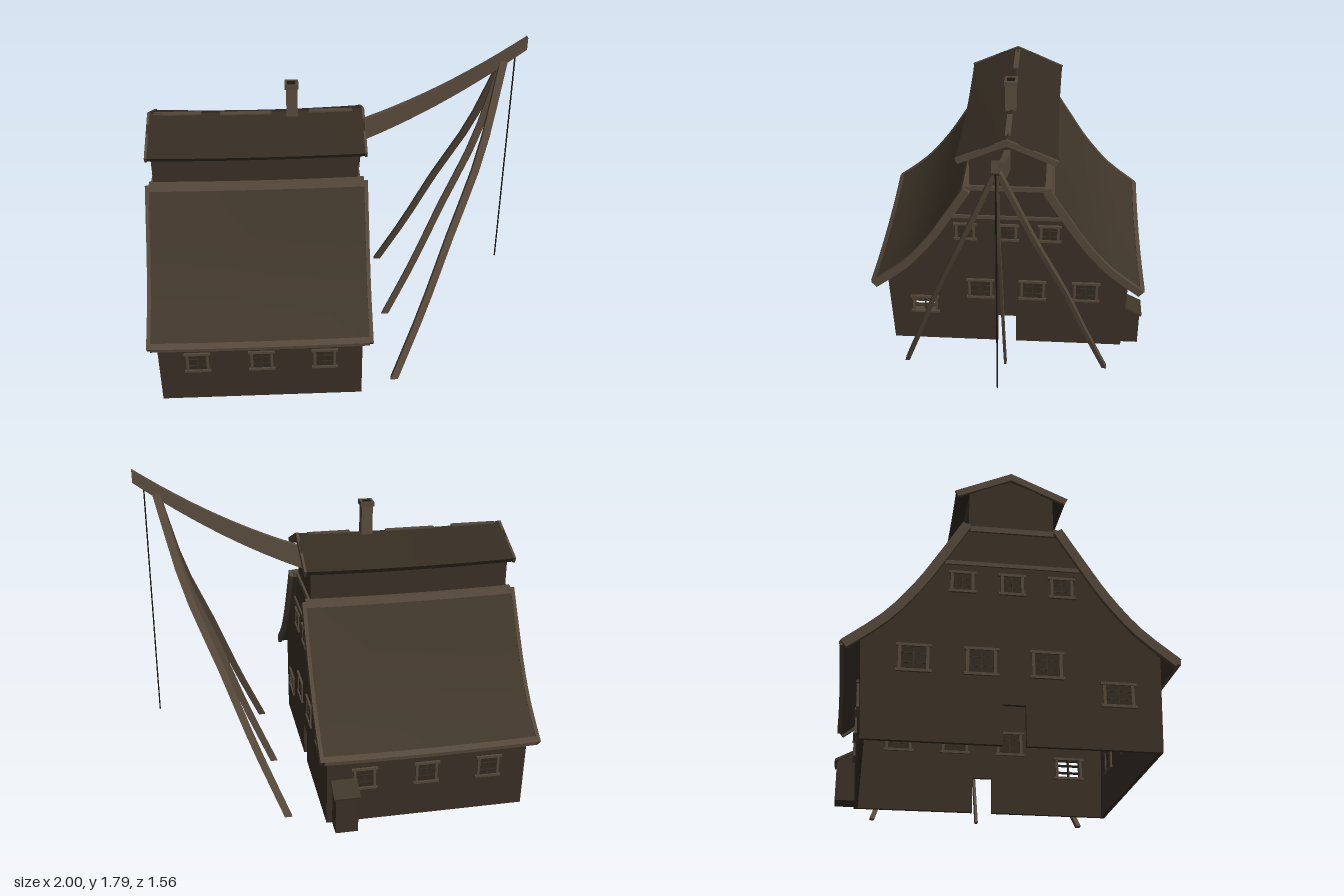
import * as THREE from 'three';
import { toCreasedNormals } from 'three/addons/utils/BufferGeometryUtils.js';

const paint = (name, color) => {
  const m = new THREE.MeshStandardMaterial({ color, side: THREE.DoubleSide });
  m.name = name;
  return m;
};

export function createModel() {
  const model = new THREE.Group();
  model.name = 'barnWithCrane';
  const wall = paint('dark timber', 0x3a3026);
  const roof = paint('roof boards', 0x40362a);
  const upperRoof = paint('upper roof boards', 0x342b21);
  const trim = paint('worn trim', 0x54473a);
  const pane = paint('window pane', 0x332a20);
  const beam = paint('crane timber', 0x5a4c3d);
  const black = paint('rope and soot', 0x1b1814);

  const add = (name, geo, mat, parent = model) => {
    const mesh = new THREE.Mesh(geo, mat);
    mesh.name = name;
    parent.add(mesh);
    return mesh;
  };
  const box = (name, w, h, d, x, y, z, mat, parent) => {
    const m = add(name, new THREE.BoxGeometry(w, h, d), mat, parent);
    m.position.set(x, y, z);
    return m;
  };
  const toShape = pts => new THREE.Shape(pts.map(p => new THREE.Vector2(...p)));

  // Extrudes a (z, y) profile from x0 to x1, sagging in the middle of the house
  const alongX = (name, shape, x0, x1, mat, sag = 0) => {
    let geo = new THREE.ExtrudeGeometry(shape, { depth: x1 - x0, steps: sag ? 10 : 1, bevelEnabled: false });
    geo.rotateY(-Math.PI / 2);
    geo.translate(x1, 0, 0);
    if (sag) {
      const p = geo.attributes.position;
      for (let i = 0; i < p.count; i++) {
        const t = (p.getX(i) + 0.415) / 0.585;
        const dip = sag * (1 - t * t);
        p.setY(i, p.getY(i) - dip);
        p.setZ(i, p.getZ(i) - Math.sign(p.getZ(i)) * dip * 0.6);
      }
    }
    geo = toCreasedNormals(geo, 0.6);
    return add(name, geo, mat);
  };

  // Curved lower roof profile, as (z, y) from the eave up
  const curve = new THREE.SplineCurve([[0.775, 0.44], [0.595, 0.585], [0.455, 0.75], [0.35, 0.91], [0.235, 1.095]]
    .map(p => new THREE.Vector2(...p)));
  const band = (inset, thick, s) => {
    const outer = [], inner = [];
    for (let i = 0; i <= 12; i++) {
      const p = curve.getPoint(i / 12), t = curve.getTangent(i / 12);
      outer.push([s * (p.x + t.y * -inset), p.y + t.x * inset]);
      inner.unshift([s * (p.x - t.y * (inset + thick)), p.y + t.x * (inset + thick)]);
    }
    return toShape([...outer, ...inner]);
  };

  // Gable walls with a doorway; one has an open window
  const slope = [];
  for (let i = 2; i <= 12; i++) {
    const p = curve.getPoint(i / 12), t = curve.getTangent(i / 12);
    slope.push([p.x - t.y * 0.02, p.y + t.x * 0.02]);
  }
  const gable = open => {
    const side = [[0.67, 0], [0.685, 0.46], ...slope];
    const s = toShape([[0.055, 0.19], [0.055, 0], ...side,
      ...side.map(([z, y]) => [-z, y]).reverse(), [-0.05, 0], [-0.05, 0.19]]);
    if (open) s.holes.push(new THREE.Path([[0.42, 0.205], [0.42, 0.32], [0.54, 0.32], [0.54, 0.205]]
      .map(p => new THREE.Vector2(...p))));
    return s;
  };
  alongX('leftGable', gable(true), 0.1, 0.12, wall);
  alongX('rightGable', gable(false), -0.96, -0.94, wall);

  for (const s of [1, -1]) {
    alongX('sideWall', toShape([[s * 0.65, 0], [s * 0.67, 0], [s * 0.69, 0.47], [s * 0.67, 0.47]]), -0.96, 0.12, wall);
    alongX('lowerRoof', band(0, 0.03, s), -0.985, 0.155, roof, 0.012);
    // Barge boards at both ends
    alongX('bargeBoard', band(-0.003, 0.045, s), 0.15, 0.17, trim);
    alongX('bargeBoard', band(-0.003, 0.045, s), -1, -0.98, trim);
    // Worn strips on the eave and the upper edge
    alongX('eaveStrip', toShape([[s * 0.78, 0.425], [s * 0.782, 0.444], [s * 0.755, 0.462], [s * 0.75, 0.425]]), -0.98, 0.15, trim, 0.012);
    alongX('topStrip', toShape([[s * 0.256, 1.069], [s * 0.24, 1.1], [s * 0.2, 1.1], [s * 0.2, 1.069]]), -0.98, 0.15, trim, 0.008);
    // Upper roof slope
    alongX('upperRoof', toShape([[0, 1.4], [s * 0.1, 1.36], [s * 0.272, 1.278], [s * 0.258, 1.255], [s * 0.1, 1.33], [0, 1.37]]),
      -0.98, 0.16, upperRoof, 0.012);
    for (const x of [-0.983, 0.15]) {
      alongX('upperBarge', toShape([[0, 1.402], [s * 0.276, 1.28], [s * 0.26, 1.25], [0, 1.365]]), x, x + 0.013, trim);
    }
  }
  // Raised loft between the roofs
  alongX('loft', toShape([[-0.205, 1.06], [0.205, 1.06], [0.205, 1.285], [0, 1.37], [-0.205, 1.285]]), -0.96, 0.12, wall);

  // Worn patches on the ridge
  for (const [a, b] of [[-0.95, -0.7], [-0.6, -0.33], [-0.13, 0.1]]) {
    const t = ((a + b) / 2 + 0.415) / 0.585;
    box('ridgeWear', b - a, 0.008, 0.03, (a + b) / 2, 1.398 - 0.012 * (1 - t * t), 0, trim);
  }

  // Gable beams
  for (const x of [0.122, -0.962]) {
    box('gableBeam', 0.015, 0.02, 0.66, x, 0.89, 0, trim);
    box('gableTopBeam', 0.02, 0.028, 0.47, x, 1.08, 0, trim);
  }

  // Windows, built facing +z
  const addWindow = (w, h, x, y, z, turn, glazed = true, tilt = 0) => {
    const g = new THREE.Group();
    g.name = 'window';
    for (const s of [1, -1]) {
      box('windowJamb', 0.014, h, 0.038, s * (w / 2 - 0.007), 0, 0, trim, g);
      box('windowRail', w + 0.02, 0.013, 0.044, 0, s * (h / 2 - 0.006), 0, trim, g);
    }
    if (glazed) box('windowPane', w - 0.02, h - 0.02, 0.026, 0, 0, 0, pane, g);
    box('mullion', 0.006, h, 0.03, 0, 0, 0, wall, g);
    for (const s of [1, -1]) box('glazingBar', w, 0.004, 0.03, 0, s * h / 6, 0, wall, g);
    g.rotation.set(tilt, turn, 0);
    g.position.set(x, y, z);
    model.add(g);
  };
  for (const x of [-0.755, -0.415, -0.08]) {
    for (const s of [1, -1]) addWindow(0.12, 0.13, x, 0.265, s * 0.671, 0, true, s * 0.04);
  }
  for (const x of [0.11, -0.95]) {
    for (const z of [0.235, 0, -0.235]) addWindow(0.11, 0.11, x, 0.79, z, Math.PI / 2);
    for (const z of [0.155, -0.145, -0.45]) addWindow(0.14, 0.135, x, 0.39, z, Math.PI / 2);
    addWindow(0.145, 0.12, x, 0.262, 0.48, Math.PI / 2, x < 0);
  }

  // Small lean-to at the back
  alongX('leanTo', toShape([[-0.66, 0], [-0.77, 0], [-0.77, 0.21], [-0.66, 0.27]]), -0.03, 0.09, wall);
  alongX('leanToRoof', toShape([[-0.66, 0.28], [-0.782, 0.215], [-0.778, 0.203], [-0.66, 0.265]]), -0.04, 0.1, roof);

  // Chimney
  box('chimney', 0.06, 0.19, 0.06, -0.22, 1.46, 0, beam);
  for (const s of [1, -1]) {
    box('chimneyCap', 0.072, 0.025, 0.014, -0.22, 1.547, s * 0.029, trim);
    box('chimneyCap', 0.014, 0.025, 0.072, -0.22 + s * 0.029, 1.547, 0, trim);
  }
  box('chimneyFlue', 0.044, 0.004, 0.044, -0.22, 1.556, 0, black);

  // Curved crane boom, with a slot for the rope near its tip
  const topEdge = x => 1.33 + 0.541 * (x - 0.15) - 0.2 * (x - 0.15) * (1 - x);
  const depth = x => 0.125 - 0.06 * (x - 0.1) / 0.9;
  const boomPart = (name, x0, x1, z0, z1) => {
    const up = [], down = [], n = Math.max(1, Math.ceil((x1 - x0) * 12));
    for (let i = 0; i <= n; i++) {
      const x = x0 + (x1 - x0) * i / n;
      up.push([x, topEdge(x)]);
      down.unshift([x, topEdge(x) - depth(x)]);
    }
    const geo = new THREE.ExtrudeGeometry(toShape([...up, ...down]), { depth: z1 - z0, bevelEnabled: false });
    geo.translate(0, 0, z0);
    add(name, toCreasedNormals(geo, 0.5), beam);
  };
  boomPart('boom', 0.1, 0.935, -0.016, 0.016);
  boomPart('boomCheek', 0.935, 0.97, 0.008, 0.016);
  boomPart('boomCheek', 0.935, 0.97, -0.016, -0.008);
  boomPart('boomTip', 0.97, 1, -0.016, 0.016);

  // Three bowed legs: thin boards swept along a curve
  const leg = side => {
    const path = new THREE.CatmullRomCurve3([[0.31, 0, 0.57], [0.465, 0.38, 0.45], [0.61, 0.78, 0.325], [0.77, 1.2, 0.175], [0.885, 1.66, 0.008]]
      .map(([x, y, z]) => new THREE.Vector3(x, y, z * side)));
    const n = 10, geo = new THREE.BoxGeometry(0.04, 1, side ? 0.024 : 0.014, 1, n, 1);
    const p = geo.attributes.position;
    for (let i = 0; i < p.count; i++) {
      const c = path.getPoint(p.getY(i) + 0.5);
      p.setXYZ(i, c.x + p.getX(i), c.y, c.z + p.getZ(i));
    }
    geo.computeVertexNormals();
    add('craneLeg', geo, beam);
  };
  [1, 0, -1].forEach(leg);

  // Hanging rope
  add('rope', new THREE.CylinderGeometry(0.004, 0.004, 1.31, 6), black).position.set(0.945, 1.065, 0);

  return model;
}
